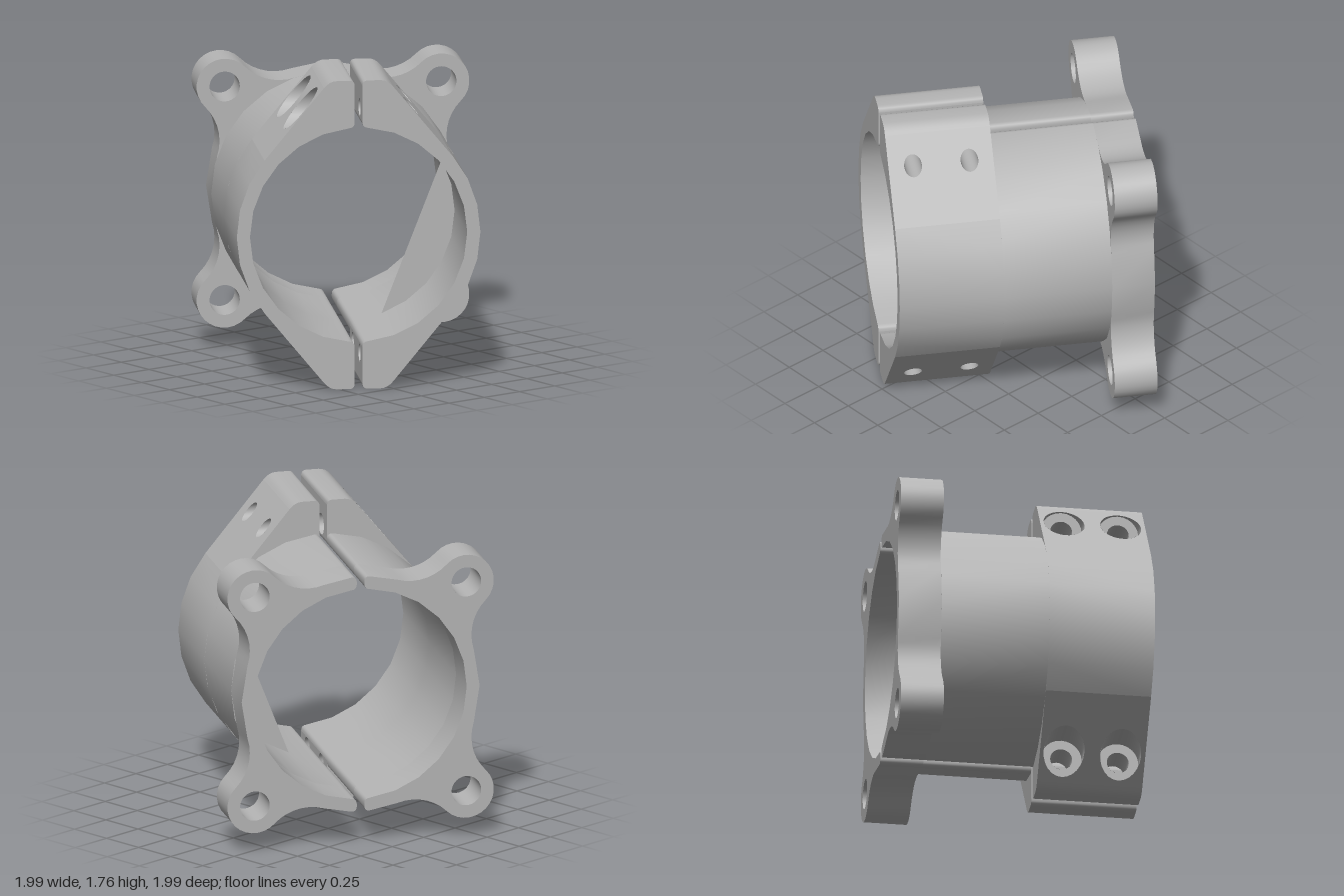
import * as THREE from 'three';
import { toCreasedNormals } from 'three/addons/utils/BufferGeometryUtils.js';

const RO = 0.684, RI = 0.61, H = 0.878;          // outer radius, bore radius, half height
const BACK = -0.691, FLANGE = -0.449, STEP = 0.16, FRONT = 0.753; // stations along the axis
const GAP = 0.022, F = 0.03;                      // half slit width, edge rounding
const SLANT = THREE.MathUtils.degToRad(39.5);     // direction of the sloping clamp face
const BOLT_Y = 0.70, BOLT_Z = [0.295, 0.614];
const LOBE = 0.608, LOBE_R = 0.158, FILLET = 0.28;

const metal = new THREE.MeshStandardMaterial({ color: 0xb5b5b5, side: THREE.DoubleSide });
metal.name = 'grey metal';

const V = (x, y) => new THREE.Vector2(x, y);
const flip = pts => pts.map(p => V(p.x, -p.y)).reverse();
const corner = (a, b, c) => new THREE.QuadraticBezierCurve(a, b, c).getPoints(4);
const onCircle = (r, x) => Math.sqrt(r * r - x * x);

function arc(cx, cy, r, a0, a1, n) {
  return Array.from({ length: n + 1 }, (_, i) => {
    const a = a0 + (a1 - a0) * i / n;
    return V(cx + r * Math.cos(a), cy + r * Math.sin(a));
  });
}

function addMesh(group, name, geometry) {
  const mesh = new THREE.Mesh(toCreasedNormals(geometry, 0.55), metal);
  mesh.name = name;
  group.add(mesh);
}

// Bore outline of one half, from the middle up to the slit
const boreEnd = Math.acos((GAP + F) / RI);
const boreUp = [
  ...arc(0, 0, RI, 0, boreEnd, 6),
  ...corner(V(GAP + F, onCircle(RI, GAP + F)), V(GAP, onCircle(RI, GAP)), V(GAP, RI + F)).slice(1),
];
const bore = [...flip(boreUp), ...boreUp.slice(1)];

// Close an upper outer outline (slit to middle) with its mirror and the bore
const closed = up => [...up, ...flip(up).slice(1), ...bore];

// Outer outlines from the slit down to the middle
const ringEnd = Math.acos((GAP + F) / RO);
const lip = corner(V(GAP, RO - F), V(GAP, onCircle(RO, GAP)), V(GAP + F, onCircle(RO, GAP + F)));
const tubeUp = [...lip, ...arc(0, 0, RO, ringEnd, 0, 6).slice(1)];

function flangeOutline() {
  // fillet centre touching both the ring and the lobe
  const d = LOBE * Math.SQRT2, D = RO + FILLET, E = LOBE_R + FILLET;
  const along = (D * D - E * E + d * d) / (2 * d), off = Math.sqrt(D * D - along * along);
  const fx = (along + off) / Math.SQRT2, fy = (along - off) / Math.SQRT2;
  const beta = Math.atan2(fy, fx);
  const d1 = Math.atan2(LOBE - fy, LOBE - fx), d2 = Math.atan2(LOBE - fx, LOBE - fy);
  return [
    ...lip,
    ...arc(0, 0, RO, ringEnd, Math.PI / 2 - beta, 1).slice(1),
    ...arc(fy, fx, FILLET, -Math.PI / 2 - beta, d2, 7).slice(1),
    ...arc(LOBE, LOBE, LOBE_R, d2 + Math.PI, d1 - Math.PI, 14).slice(1),
    ...arc(fx, fy, FILLET, d1, Math.PI + beta, 7).slice(1),
    ...arc(0, 0, RO, beta, 0, 1).slice(1),
  ];
}

const slope = y => (RO - Math.sin(SLANT) * y) / Math.cos(SLANT);
const ridge = V(slope(H), H);
const slopeTop = V(ridge.x + 0.05 * Math.sin(SLANT), H - 0.05 * Math.cos(SLANT));
const earTop = [
  ...corner(V(GAP, H - F), V(GAP, H), V(GAP + F, H)),
  ...corner(V(ridge.x - 0.04, H), ridge, slopeTop),
];
const clampArc = arc(0, 0, RO, SLANT, 0, 3);

function prism(outline, z0, z1, holes = []) {
  const shape = new THREE.Shape(outline);
  shape.holes.push(...holes);
  return new THREE.ExtrudeGeometry(shape, { depth: z1 - z0, bevelEnabled: false, curveSegments: 24 })
    .translate(0, 0, z0);
}

const circle = (x, y, r) => new THREE.Path().absarc(x, y, r, 0, Math.PI * 2, true);

// Strip swept along the axis from an open outline
function wall(pts, z0, z1) {
  const pos = [], idx = [];
  pts.forEach((p, i) => {
    pos.push(p.x, p.y, z0, p.x, p.y, z1);
    if (i) idx.push(2 * i - 2, 2 * i, 2 * i - 1, 2 * i - 1, 2 * i, 2 * i + 1);
  });
  const g = new THREE.BufferGeometry();
  g.setAttribute('position', new THREE.Float32BufferAttribute(pos, 3));
  g.setIndex(idx);
  g.computeVertexNormals();
  return g;
}

// Flat shape drawn in (z, y) and set at the sideways position given by depthAt(y)
function panel(shape, depthAt, t) {
  const g = new THREE.ShapeGeometry(shape, 24), p = g.attributes.position;
  for (let i = 0; i < p.count; i++) {
    const u = p.getX(i), v = p.getY(i);
    p.setXYZ(i, depthAt(v), t * v, u);
  }
  g.computeVertexNormals();
  return g;
}

function drilledPanel(y0, y1, r, depthAt, t) {
  const s = new THREE.Shape([V(STEP, y0), V(FRONT, y0), V(FRONT, y1), V(STEP, y1)]);
  BOLT_Z.forEach(z => s.holes.push(circle(z, BOLT_Y, r)));
  return panel(s, depthAt, t);
}

// Wall of a sideways hole, trimmed to the surfaces at its ends
function sleeve(r, z, from, to, t) {
  const g = new THREE.CylinderGeometry(r, r, 1, 24, 1, true), p = g.attributes.position;
  for (let i = 0; i < p.count; i++) {
    const v = BOLT_Y + p.getZ(i);
    p.setXYZ(i, p.getY(i) > 0 ? to(v) : from(v), t * v, z + p.getX(i));
  }
  g.computeVertexNormals();
  return g;
}

function makeHalf(name, counterbored) {
  const half = new THREE.Group();
  half.name = name;

  // Flange with two bolt lobes, and the plain tube
  const lobeHoles = [1, -1].map(t => circle(LOBE, t * LOBE, 0.085));
  addMesh(half, 'flange', prism(closed(flangeOutline()), BACK, FLANGE, lobeHoles));
  addMesh(half, 'tube', prism(closed(tubeUp), FLANGE, STEP));

  // Clamp end faces, bore and round outside
  const clampOutline = closed([...earTop, ...clampArc]);
  for (const z of [STEP, FRONT]) {
    addMesh(half, 'clampEnd', new THREE.ShapeGeometry(new THREE.Shape(clampOutline)).translate(0, 0, z));
  }
  addMesh(half, 'clampBore', wall(bore, STEP, FRONT));
  addMesh(half, 'clampOutside', wall([...clampArc, ...flip(clampArc).slice(1)], STEP, FRONT));

  // Upper and lower ears with cross-drilled bolt holes
  const gapAt = () => GAP, floorAt = () => 0.2;
  const boltR = counterbored ? 0.062 : 0.05, mouthR = counterbored ? 0.115 : boltR;
  for (const t of [1, -1]) {
    addMesh(half, 'earTop', wall(earTop.map(p => V(p.x, t * p.y)), STEP, FRONT));
    addMesh(half, 'earSlope', drilledPanel(clampArc[0].y, slopeTop.y, mouthR, slope, t));
    addMesh(half, 'slitFace', drilledPanel(RI + F, H - F, boltR, gapAt, t));
    for (const z of BOLT_Z) {
      addMesh(half, 'boltHole', sleeve(boltR, z, gapAt, counterbored ? floorAt : slope, t));
      if (!counterbored) continue;
      addMesh(half, 'counterbore', sleeve(mouthR, z, floorAt, slope, t));
      const seat = new THREE.Shape().absarc(z, BOLT_Y, mouthR, 0, Math.PI * 2);
      seat.holes.push(circle(z, BOLT_Y, boltR));
      addMesh(half, 'boltSeat', panel(seat, floorAt, t));
    }
  }
  return half;
}

export function createModel() {
  const model = new THREE.Group();
  model.name = 'splitTubeClamp';

  const axis = new THREE.Group();
  axis.name = 'clampAssembly';
  axis.position.set(-0.008, H, 0.014);
  axis.rotation.y = 1.022;
  model.add(axis);

  const plainHalf = makeHalf('threadedHalf', false);
  const boredHalf = makeHalf('counterboredHalf', true);
  boredHalf.rotation.z = Math.PI;
  axis.add(plainHalf, boredHalf);

  // Flat web across one side of the bore
  const step = boreEnd / 6;
  const web = new THREE.Shape(arc(0, 0, RI, -5 * step, 2 * step, 7));
  addMesh(plainHalf, 'boreWeb', new THREE.ShapeGeometry(web).translate(0, 0, STEP));
  return model;
}
